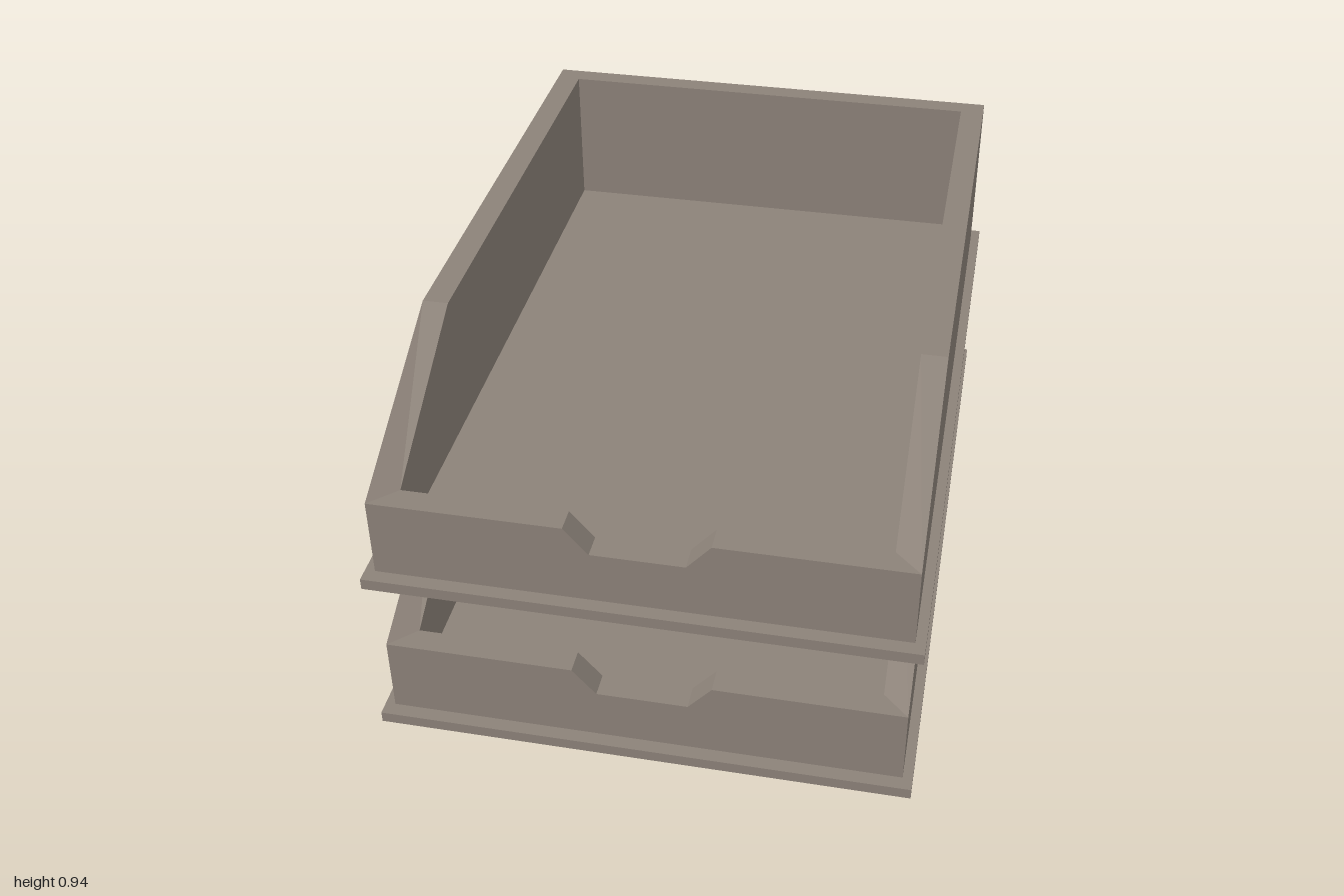
import * as THREE from 'three';

const material = new THREE.MeshStandardMaterial({ color: 0x8c8279, flatShading: true });

const BASE = 0.03, FLOOR = 0.1;          // base plate top and tray floor top
const FRONT = 0.24, NOTCH = 0.17;        // front lip and finger notch heights
const FULL = 0.49, SLOPE_Z = 0.43;       // full wall height, where the slope ends
const OUT = { x: 0.651, front: 0.926, back: -0.917 };
const IN = { x: 0.586, front: 0.862, back: -0.861 };

function box(name, w, h, d, y) {
  const mesh = new THREE.Mesh(new THREE.BoxGeometry(w, h, d), material);
  mesh.position.y = y + h / 2;
  mesh.name = name;
  return mesh;
}

// Closed wall ring: at each station a section runs up the outside, over the rim and down the inside
function wallGeometry(top) {
  const t = (top - FRONT) / (FULL - FRONT);
  const slope = (side) => THREE.MathUtils.lerp(side.front, SLOPE_Z, t);
  const station = (ox, oz, ix, iz, h) => [
    [ox, BASE, oz], [ox, h, oz], [ix, h, iz], [ix, BASE, iz],
  ];
  const corner = (s, end, h) => station(s * OUT.x, OUT[end], s * IN.x, IN[end], h);
  const shoulder = (s) => station(s * OUT.x, slope(OUT), s * IN.x, slope(IN), top);
  const lip = (x, h) => station(x, OUT.front, x, IN.front, h);

  const ring = [
    corner(-1, 'front', FRONT),
    lip(-0.175, FRONT), lip(-0.115, NOTCH), lip(0.115, NOTCH), lip(0.175, FRONT),
    corner(1, 'front', FRONT),
    shoulder(1),
    corner(1, 'back', top), corner(-1, 'back', top),
    shoulder(-1),
  ];

  const positions = [];
  ring.forEach((a, i) => {
    const b = ring[(i + 1) % ring.length];
    for (let k = 0; k < 3; k++) {
      positions.push(...a[k], ...b[k], ...b[k + 1], ...a[k], ...b[k + 1], ...a[k + 1]);
    }
  });
  const geometry = new THREE.BufferGeometry();
  geometry.setAttribute('position', new THREE.Float32BufferAttribute(positions, 3));
  geometry.computeVertexNormals();
  return geometry;
}

function createTray(name, y, top) {
  const tray = new THREE.Group();
  tray.name = name;
  const walls = new THREE.Mesh(wallGeometry(top), material);
  walls.name = 'walls';
  const floor = box('floor', 2 * IN.x, FLOOR - BASE, IN.front - IN.back, BASE);
  floor.position.z = (IN.front + IN.back) / 2;
  tray.add(box('basePlate', 1.352, BASE, 1.924, 0), floor, walls);
  tray.position.y = y;
  return tray;
}

export function createModel() {
  const model = new THREE.Group();
  model.name = 'letterTrays';
  // The lower tray's walls stop at the underside of the upper one
  model.add(createTray('lowerTray', 0, 0.455), createTray('upperTray', 0.455, FULL));
  // The stack stands slightly turned
  model.rotation.y = 0.0595;
  return model;
}
